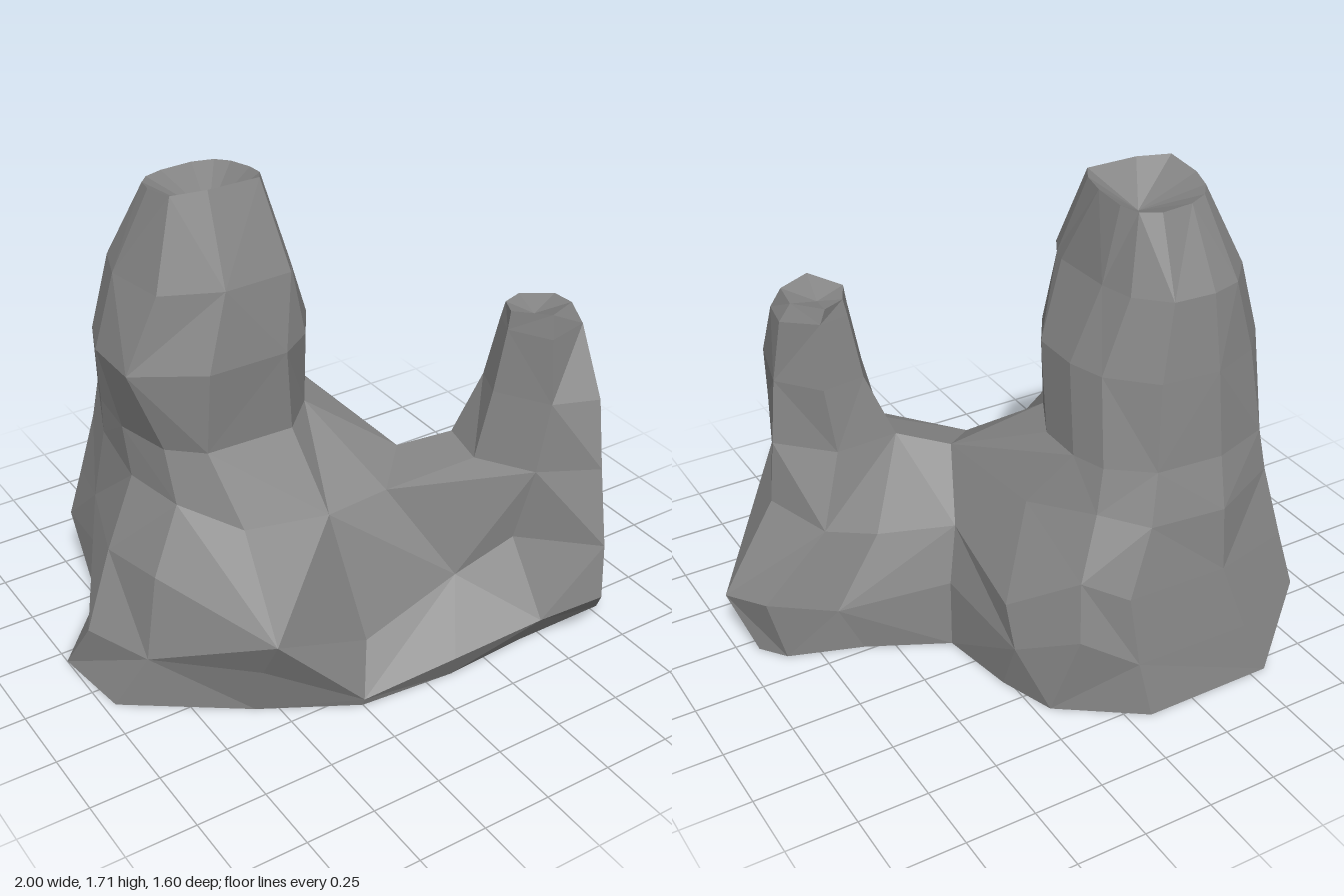
import * as THREE from 'three';

// Faceted strip between each pair of neighbouring loops of [x, y, z] points
function bands(loops) {
  const triangles = [];
  const n = loops[0].length;
  for (let r = 0; r < loops.length - 1; r++) {
    for (let i = 0; i < n; i++) {
      const j = (i + 1) % n;
      const a = loops[r][i], b = loops[r][j], c = loops[r + 1][j], d = loops[r + 1][i];
      // alternate the diagonal for a broken rock surface
      if ((i + r) % 2) triangles.push([a, d, c], [a, c, b]);
      else triangles.push([a, d, b], [d, c, b]);
    }
  }
  return triangles;
}

// Fan from a loop to its centre point
const cap = (loop, centre) => loop.map((p, i) => [loop[(i + 1) % loop.length], p, centre]);

// Loop from [x, z] pairs at one height, tilted along z
const level = (y, points, tilt = 0) => points.map(([x, z]) => [x, y + tilt * z, z]);

// Spreading foot, open below: footprint, bulge, shoulder and saddle
const foot = level(0, [
  [-1, -0.2], [-0.75, -0.48], [-0.65, -0.66], [-0.56, -0.8], [-0.08, -0.8], [0.2, -0.6],
  [0.27, -0.4], [0.32, -0.12], [0.6, 0.02], [0.86, 0.11], [0.93, 0.2], [0.78, 0.57],
  [0.42, 0.57], [0.1, 0.59], [-0.25, 0.56], [-0.57, 0.38], [-0.96, 0.1]]);
const bulge = [
  [-0.96, 0.2, -0.08], [-0.74, 0.25, -0.48], [-0.73, 0.25, -0.7], [-0.48, 0.2, -0.77],
  [-0.05, 0.2, -0.76], [0.13, 0.3, -0.67], [0.27, 0.2, -0.48], [0.31, 0.25, -0.1],
  [0.68, 0.17, 0.05], [0.92, 0.24, 0.12], [1, 0.2, 0.3], [0.58, 0.27, 0.8],
  [0.4, 0.18, 0.7], [0.07, 0.12, 0.65], [-0.25, 0.03, 0.57], [-0.57, 0.2, 0.44], [-0.86, 0.2, 0.17]];
const shoulder = [
  [-0.83, 0.45, -0.15], [-0.72, 0.45, -0.48], [-0.69, 0.45, -0.66], [-0.4, 0.45, -0.73],
  [-0.03, 0.45, -0.72], [0.1, 0.5, -0.62], [0.27, 0.35, -0.42], [0.26, 0.45, -0.05],
  [0.5, 0.42, 0.08], [0.68, 0.47, 0.12], [0.78, 0.5, 0.35], [0.6, 0.46, 0.77],
  [0.4, 0.43, 0.52], [0.2, 0.31, 0.46], [-0.15, 0.15, 0.43], [-0.57, 0.37, 0.54], [-0.79, 0.48, 0.12]];
const saddle = [
  [-0.7, 0.68, -0.2], [-0.68, 0.72, -0.45], [-0.65, 0.7, -0.6], [-0.4, 0.68, -0.71],
  [-0.13, 0.68, -0.68], [0, 0.7, -0.55], [0.12, 0.65, -0.3], [0.18, 0.67, 0.12],
  [0.35, 0.72, 0.21], [0.58, 0.72, 0.2], [0.75, 0.72, 0.37], [0.63, 0.72, 0.69],
  [0.45, 0.7, 0.56], [0.04, 0.61, 0.26], [-0.2, 0.6, 0.27], [-0.5, 0.62, 0.22], [-0.65, 0.67, 0.03]];

// The saddle loop splits into the roots of both spires
const notch = [0.33, 0.7, 0.37];
const tallRoot = [...saddle.slice(0, 8), ...saddle.slice(13)];
const smallRoot = [...saddle.slice(8, 13), notch];
const bridge = [
  [notch, saddle[8], saddle[7]],
  [notch, saddle[7], saddle[13]],
  [notch, saddle[13], saddle[12]]];

// Tall spire, up to the hollow tip
const tallLoops = [
  tallRoot,
  level(0.85, [[-0.7, -0.25], [-0.68, -0.45], [-0.63, -0.58], [-0.42, -0.65], [-0.18, -0.63], [-0.04, -0.52],
    [0, -0.4], [0, -0.23], [-0.09, -0.06], [-0.22, 0.07], [-0.54, 0.06], [-0.65, -0.04]]),
  level(1.15, [[-0.76, -0.28], [-0.7, -0.43], [-0.6, -0.54], [-0.42, -0.61], [-0.21, -0.59], [-0.07, -0.45],
    [-0.03, -0.32], [-0.03, -0.14], [-0.12, 0], [-0.24, 0.08], [-0.53, 0.08], [-0.76, -0.06]]),
  level(1.41, [[-0.68, -0.28], [-0.63, -0.42], [-0.53, -0.53], [-0.42, -0.56], [-0.27, -0.55], [-0.17, -0.45],
    [-0.14, -0.33], [-0.13, -0.1], [-0.15, -0.04], [-0.19, 0.03], [-0.44, 0.04], [-0.64, -0.05]]),
  level(1.72, [[-0.55, -0.25], [-0.53, -0.33], [-0.49, -0.38], [-0.42, -0.41], [-0.3, -0.42], [-0.23, -0.39],
    [-0.2, -0.33], [-0.19, -0.22], [-0.2, -0.14], [-0.23, -0.09], [-0.42, -0.09], [-0.54, -0.12]], 0.14),
];

// Small spire
const smallLoops = [
  smallRoot,
  level(0.95, [[0.44, 0.26], [0.6, 0.24], [0.72, 0.39], [0.66, 0.62], [0.5, 0.56], [0.39, 0.38]]),
  level(1.18, [[0.47, 0.3], [0.58, 0.28], [0.69, 0.37], [0.67, 0.49], [0.51, 0.53], [0.43, 0.39]]),
  level(1.2, [[0.48, 0.31], [0.56, 0.28], [0.65, 0.36], [0.64, 0.46], [0.52, 0.51], [0.44, 0.39]], 0.12),
];

export function createModel() {
  const group = new THREE.Group();
  group.name = 'rockFormation';
  const stone = new THREE.MeshStandardMaterial({ color: 0x848484, flatShading: true, side: THREE.DoubleSide });
  stone.name = 'greyStone';
  const add = (name, triangles) => {
    const geometry = new THREE.BufferGeometry();
    geometry.setAttribute('position', new THREE.Float32BufferAttribute(triangles.flat(2), 3));
    geometry.computeVertexNormals();
    const mesh = new THREE.Mesh(geometry, stone);
    mesh.name = name;
    group.add(mesh);
  };
  add('rockBase', [...bands([foot, bulge, shoulder, saddle]), ...bridge]);
  add('tallSpire', [...bands(tallLoops), ...cap(tallLoops.at(-1), [-0.36, 1.57, -0.2])]);
  add('smallSpire', [...bands(smallLoops), ...cap(smallLoops.at(-1), [0.54, 1.21, 0.39])]);
  return group;
}
